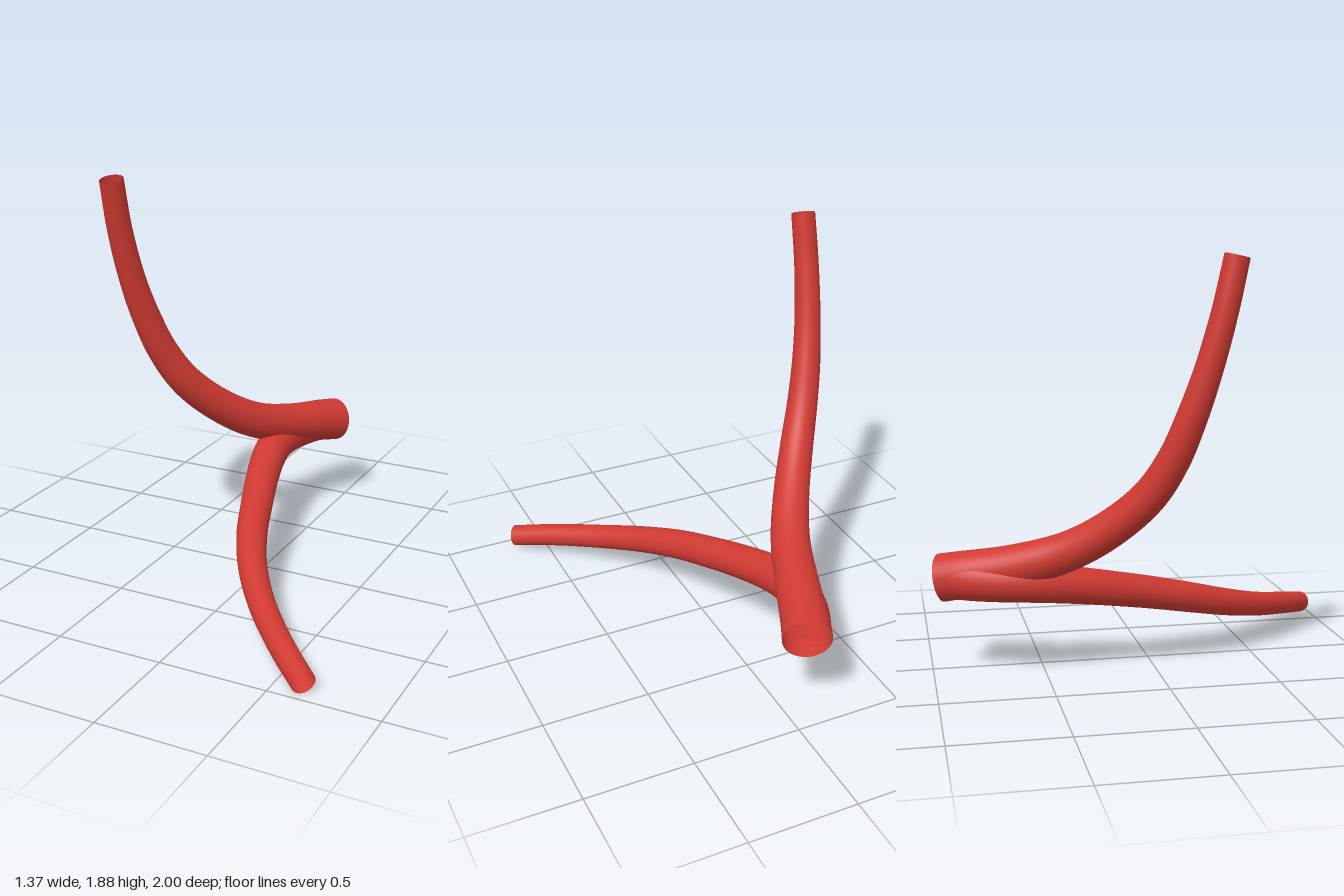
import * as THREE from 'three';

const STEPS = 160, SIDES = 40;

// Tapered path: each station is [x, y, z, radius]
function makePath(stations) {
  const curve = new THREE.CatmullRomCurve3(
    stations.map(([x, y, z]) => new THREE.Vector3(x, y, z)), false, 'centripetal');
  const frames = curve.computeFrenetFrames(STEPS, false);
  const rings = [];
  for (let i = 0; i <= STEPS; i++) {
    const u = i / STEPS;
    const t = curve.getUtoTmapping(u) * (stations.length - 1);
    const k = Math.min(Math.floor(t), stations.length - 2);
    rings.push({
      centre: curve.getPointAt(u),
      radius: THREE.MathUtils.lerp(stations[k][3], stations[k + 1][3], t - k),
      normal: frames.normals[i],
      binormal: frames.binormals[i],
    });
  }
  return rings;
}

// True where a point lies inside the tube around a path
const isInside = (p, rings) => rings.some(r => p.distanceTo(r.centre) < r.radius * 0.995);

// Open tube wall, leaving out the faces buried in the other tube
function makeTube(rings, otherRings) {
  const points = [], all = [], kept = [];
  for (const r of rings) {
    for (let j = 0; j < SIDES; j++) {
      const a = (j / SIDES) * Math.PI * 2;
      points.push(r.centre.clone()
        .addScaledVector(r.normal, Math.cos(a) * r.radius)
        .addScaledVector(r.binormal, Math.sin(a) * r.radius));
    }
  }
  const buried = points.map(p => isInside(p, otherRings));
  for (let i = 0; i < STEPS; i++) {
    for (let j = 0; j < SIDES; j++) {
      const a = i * SIDES + j, b = i * SIDES + (j + 1) % SIDES;
      const c = a + SIDES, d = b + SIDES;
      for (const tri of [[a, b, c], [b, d, c]]) {
        all.push(...tri);
        if (!tri.every(v => buried[v])) kept.push(...tri);
      }
    }
  }
  const geometry = new THREE.BufferGeometry().setFromPoints(points);
  geometry.setIndex(all);
  geometry.computeVertexNormals();
  geometry.setIndex(kept);
  return geometry;
}

export function createModel() {
  const group = new THREE.Group();
  group.name = 'branchingVessel';
  const red = new THREE.MeshStandardMaterial({ color: 0xd03a32, side: THREE.DoubleSide });
  red.name = 'vesselRed';

  // Trunk from the wide inlet, rising to the upper outlet
  const trunk = makePath([
    [-0.05, 0.443, -0.955, 0.109],
    [-0.09, 0.462, -0.86, 0.107],
    [-0.165, 0.505, -0.65, 0.098],
    [-0.252, 0.58, -0.42, 0.09],
    [-0.35, 0.695, -0.24, 0.084],
    [-0.457, 0.855, -0.085, 0.078],
    [-0.53, 1.02, 0.005, 0.072],
    [-0.58, 1.2, 0.07, 0.067],
    [-0.614, 1.4, 0.132, 0.061],
    [-0.633, 1.64, 0.195, 0.057],
    [-0.635, 1.875, 0.247, 0.055],
  ]);

  // Side branch, leaving the trunk and falling to the lower outlet
  const branch = makePath([
    [-0.085, 0.45, -0.9, 0.098],
    [-0.14, 0.446, -0.79, 0.096],
    [-0.178, 0.44, -0.66, 0.092],
    [-0.187, 0.43, -0.53, 0.088],
    [-0.165, 0.41, -0.39, 0.085],
    [-0.11, 0.372, -0.2, 0.08],
    [-0.04, 0.326, 0, 0.076],
    [0.035, 0.274, 0.2, 0.072],
    [0.138, 0.215, 0.4, 0.066],
    [0.283, 0.156, 0.6, 0.06],
    [0.47, 0.103, 0.8, 0.056],
    [0.645, 0.057, 0.957, 0.053],
  ]);

  for (const [name, own, other] of [['trunk', trunk, branch], ['sideBranch', branch, trunk]]) {
    const mesh = new THREE.Mesh(makeTube(own, other), red);
    mesh.name = name;
    group.add(mesh);
  }
  return group;
}
